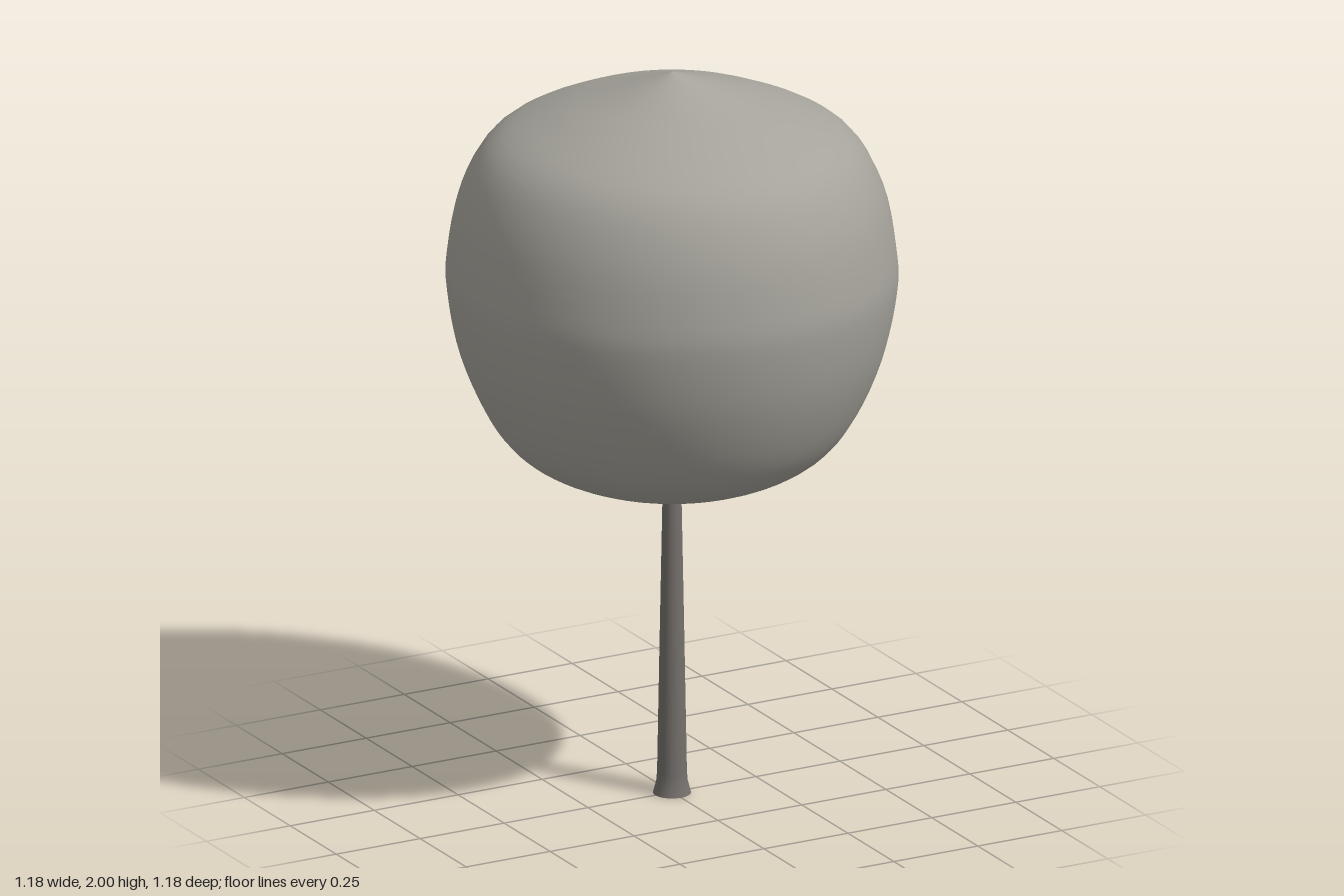
import * as THREE from 'three';

const canopyMaterial = new THREE.MeshStandardMaterial({ color: 0xa5a39b });
canopyMaterial.name = 'pale grey foliage';
const trunkMaterial = new THREE.MeshStandardMaterial({ color: 0x74706c });
trunkMaterial.name = 'grey brown bark';

const toPoints = (pairs) => pairs.map(([r, y]) => new THREE.Vector2(r, y));

function turned(name, points, segments, material) {
  const mesh = new THREE.Mesh(new THREE.LatheGeometry(points, segments), material);
  mesh.name = name;
  return mesh;
}

export function createModel() {
  const tree = new THREE.Group();
  tree.name = 'tree';

  // Rounded crown with a shallow point at top and bottom
  const crown = new THREE.SplineCurve(toPoints([
    [0, 0.845], [0.15, 0.868], [0.29, 0.903], [0.407, 0.968], [0.487, 1.07],
    [0.555, 1.23], [0.588, 1.39], [0.588, 1.5], [0.555, 1.667], [0.476, 1.805],
    [0.33, 1.885], [0.17, 1.942], [0, 2],
  ])).getPoints(48);
  crown[0].x = 0;
  crown[crown.length - 1].x = 0;
  tree.add(turned('crown', crown, 48, canopyMaterial));

  // Slim tapering trunk with a small flared foot
  tree.add(turned('trunk', toPoints([
    [0.05, 0], [0.046, 0.015], [0.041, 0.035], [0.039, 0.06],
    [0.032, 0.45], [0.024, 0.87],
  ]), 24, trunkMaterial));

  // Flat underside of the foot
  const base = new THREE.Mesh(new THREE.CircleGeometry(0.05, 24), trunkMaterial);
  base.name = 'trunkBase';
  base.rotation.x = Math.PI / 2;
  tree.add(base);

  return tree;
}
